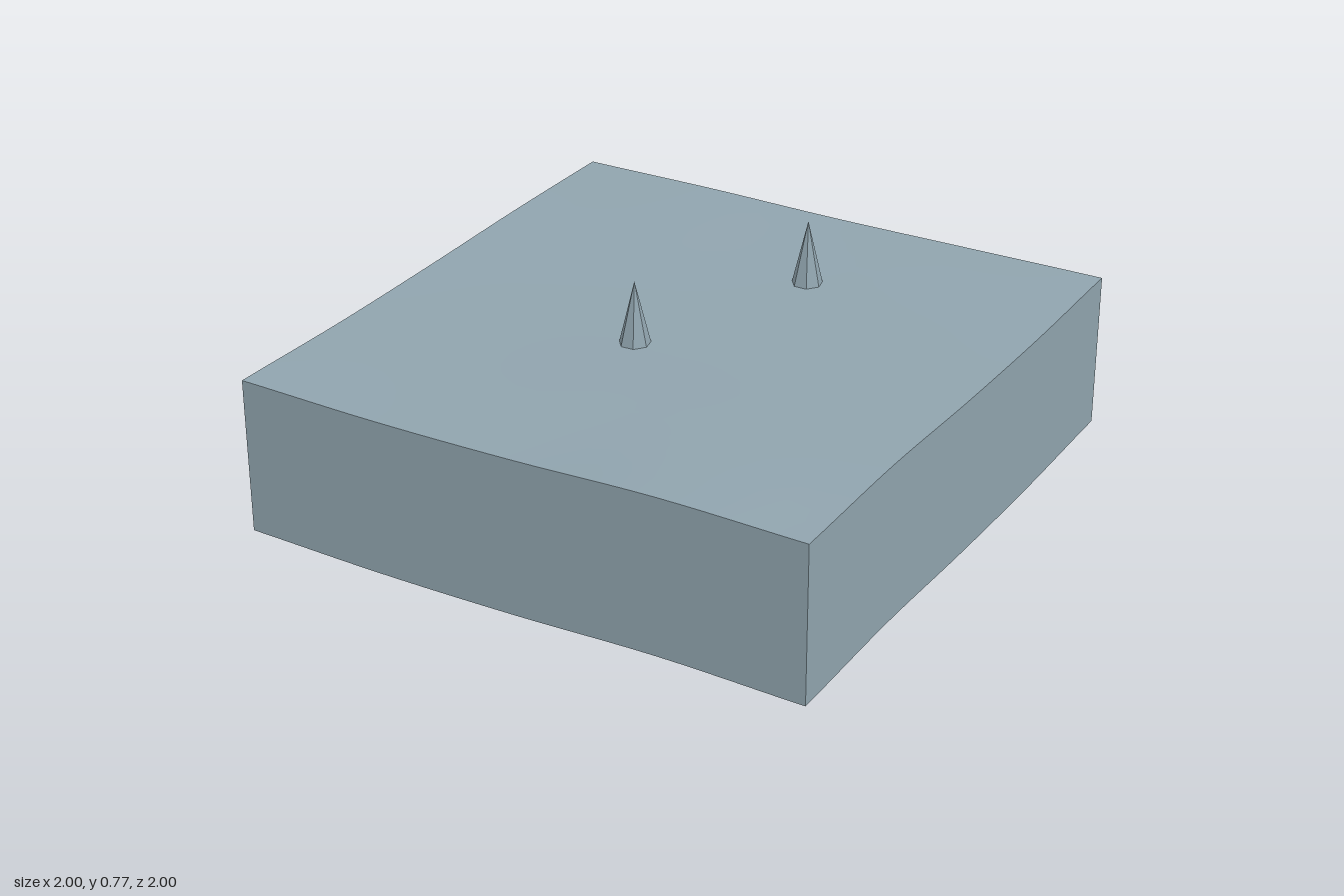
import * as THREE from 'three';

// Ground heights on a coarse grid: rows run z = -1..1, columns x = -1..1
const HEIGHTS = [
  [0.557, 0.562, 0.560, 0.566, 0.572],
  [0.553, 0.555, 0.553, 0.556, 0.558],
  [0.541, 0.545, 0.552, 0.558, 0.559],
  [0.534, 0.540, 0.555, 0.567, 0.571],
  [0.539, 0.534, 0.543, 0.563, 0.560],
];
const DEPTH = 0.534;
const STEPS = 24;

// Smooth curve through five evenly spaced values, t in -1..1
function smooth(values, t) {
  const s = (t + 1) * 2;
  const i = Math.min(3, Math.floor(s));
  const f = s - i;
  const at = (k) => values[Math.max(0, Math.min(4, k))];
  const [a, b, c, d] = [at(i - 1), at(i), at(i + 1), at(i + 2)];
  return b + 0.5 * f * (c - a + f * (2 * a - 5 * b + 4 * c - d + f * (3 * (b - c) + d - a)));
}

const groundHeight = (x, z) => smooth(HEIGHTS.map((row) => smooth(row, x)), z);

export function createModel() {
  const model = new THREE.Group();
  const stone = new THREE.MeshStandardMaterial({ color: 0x90a4ae, side: THREE.DoubleSide });
  stone.name = 'blueGreyStone';

  const add = (name, geometry) => {
    const mesh = new THREE.Mesh(geometry, stone);
    mesh.name = name;
    model.add(mesh);
    return mesh;
  };

  // Gently rolling ground
  const ground = new THREE.PlaneGeometry(2, 2, STEPS, STEPS).rotateX(-Math.PI / 2);
  const p = ground.attributes.position;
  for (let i = 0; i < p.count; i++) p.setY(i, groundHeight(p.getX(i), p.getZ(i)));
  ground.computeVertexNormals();
  add('ground', ground);

  // Side walls follow the ground edge at top and bottom; the underside is open
  ['frontWall', 'leftWall', 'backWall', 'rightWall'].forEach((name, k) => {
    const wall = new THREE.PlaneGeometry(2, 1, STEPS, 1).translate(0, 0, 1).rotateY(k * Math.PI / 2);
    const w = wall.attributes.position;
    for (let i = 0; i < w.count; i++) {
      const top = groundHeight(w.getX(i), w.getZ(i));
      w.setY(i, w.getY(i) > 0 ? top : top - DEPTH);
    }
    add(name, wall);
  });

  // Seven-sided spikes standing on the ground
  for (const [name, x, z, tip] of [['frontSpike', -0.087, 0.17, 0.765], ['backSpike', 0.165, -0.5, 0.775]]) {
    const base = groundHeight(x, z) - 0.005;
    const spike = new THREE.ConeGeometry(0.053, tip - base, 7, 1, true).rotateY(Math.PI).toNonIndexed();
    spike.computeVertexNormals();
    add(name, spike).position.set(x, (base + tip) / 2, z);
  }

  return model;
}
